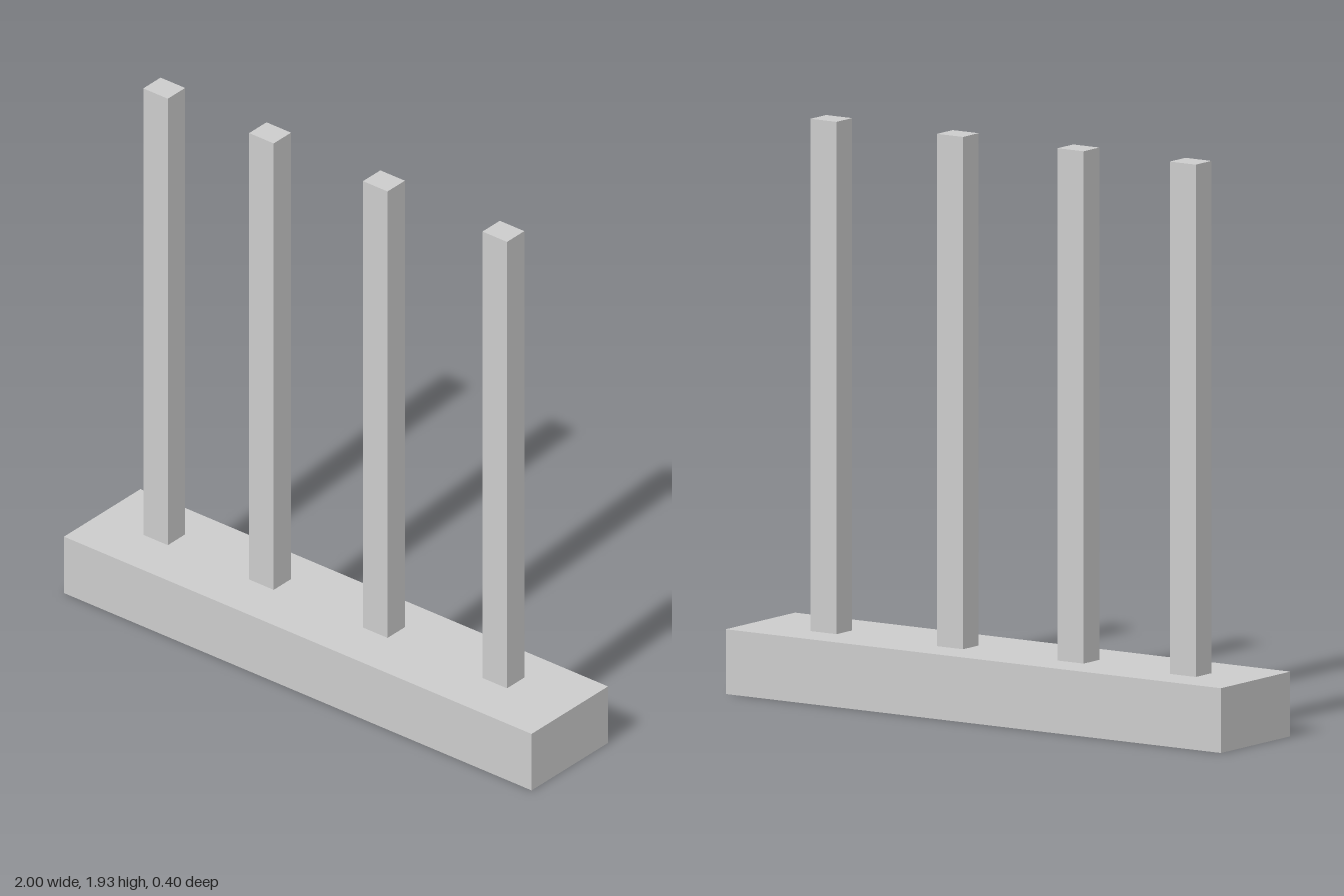
import * as THREE from 'three';

export function createModel() {
  const model = new THREE.Group();
  const material = new THREE.MeshStandardMaterial({ color: 0xcccccc, flatShading: true });

  // Box standing on the given height
  const addBox = (name, [w, h, d], x, bottom, z) => {
    const mesh = new THREE.Mesh(new THREE.BoxGeometry(w, h, d), material);
    mesh.name = name;
    mesh.position.set(x, bottom + h / 2, z);
    model.add(mesh);
  };

  // Long base block
  const baseHeight = 0.217;
  addBox('base', [2, baseHeight, 0.397], 0, 0, 0);

  // Row of square posts, set slightly towards the back
  const postHeight = 1.933 - baseHeight;
  [-0.753, -0.3, 0.187, 0.698].forEach((x, i) => {
    addBox(`post${i + 1}`, [0.105, postHeight, 0.09], x, baseHeight, -0.022);
  });

  return model;
}
